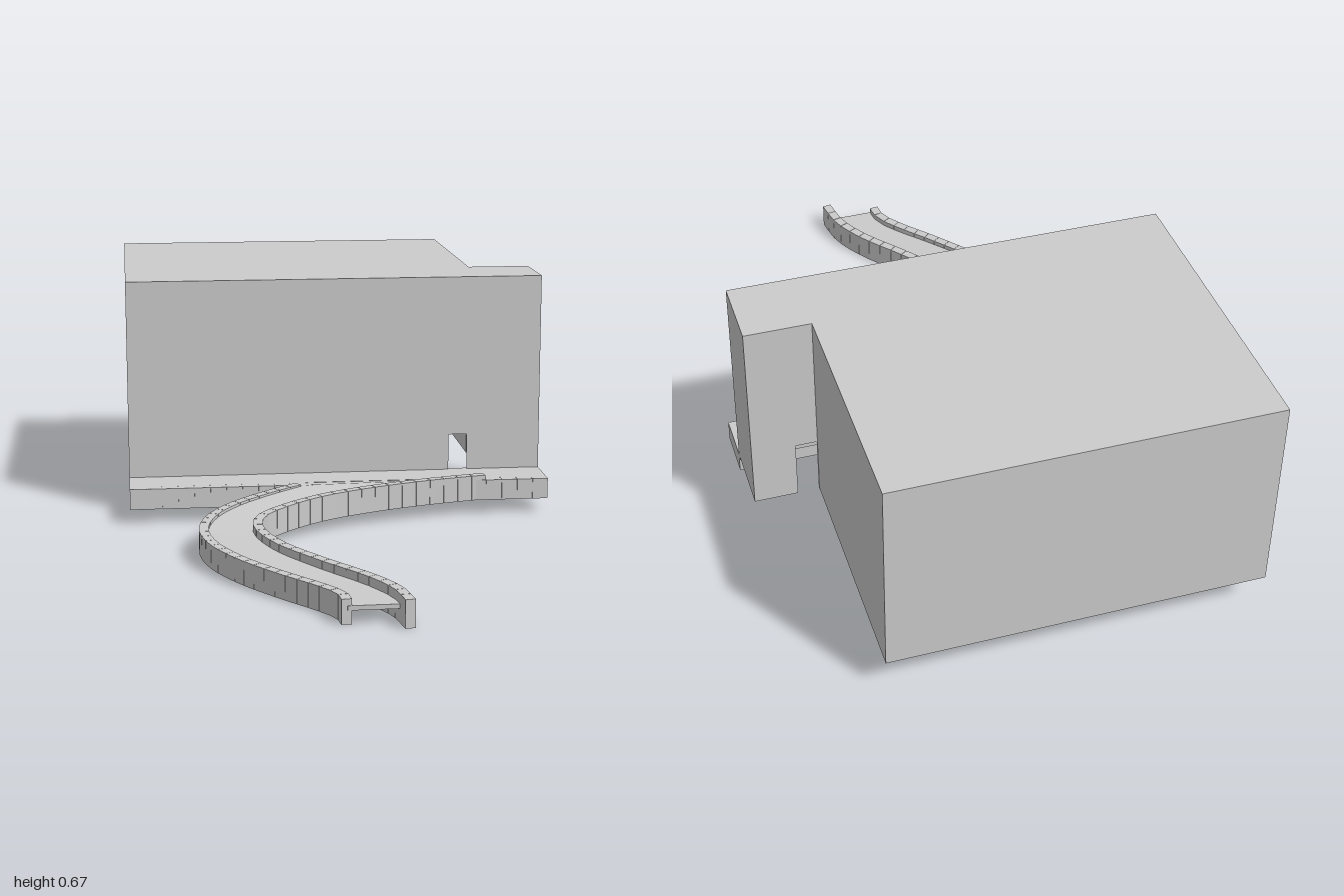
import * as THREE from 'three';
import { mergeGeometries } from 'three/addons/utils/BufferGeometryUtils.js';

const material = new THREE.MeshStandardMaterial({ color: 0xcccccc, side: THREE.DoubleSide, flatShading: true });

function add(group, name, geometry) {
  const mesh = new THREE.Mesh(geometry, material);
  mesh.name = name;
  group.add(mesh);
  return mesh;
}

function block(x0, x1, y0, y1, z0, z1) {
  return new THREE.BoxGeometry(x1 - x0, y1 - y0, z1 - z0)
    .translate((x0 + x1) / 2, (y0 + y1) / 2, (z0 + z1) / 2);
}

const curve = (pts) => new THREE.CatmullRomCurve3(pts.map(([x, z]) => new THREE.Vector3(x, 0, z)));

// Outer edges of the winding ramp, from the terrace down to its foot
const leftEdge = curve([[-0.13, -0.01], [-0.23, 0.06], [-0.33, 0.15], [-0.395, 0.25], [-0.42, 0.36],
  [-0.4, 0.48], [-0.335, 0.61], [-0.24, 0.74], [-0.15, 0.85], [-0.112, 0.91], [-0.105, 0.96]]);
const rightEdge = curve([[0.42, -0.01], [0.24, 0.028], [0.08, 0.075], [-0.06, 0.135], [-0.17, 0.215],
  [-0.235, 0.29], [-0.25, 0.37], [-0.21, 0.5], [-0.115, 0.645], [0.0, 0.8], [0.05, 0.9], [0.068, 1.0]]);

const baseY = (z) => 0.04 * Math.min(1, 1 - z) ** 2;

// Point beside an edge curve: offset is horizontal, towards the model's left
function beside(edge, t, offset) {
  const p = edge.getPointAt(t);
  const d = edge.getTangentAt(t);
  return new THREE.Vector3(p.x + d.z * offset, baseY(p.z), p.z - d.x * offset);
}

// Parapet of separate stones following an edge
function stoneWall(edge, inner, outer, height, count) {
  const stones = [];
  for (let i = 0; i < count; i++) {
    const g = new THREE.BoxGeometry(1, 1, 1);
    const pos = g.attributes.position;
    for (let k = 0; k < pos.count; k++) {
      const t = (i + (pos.getZ(k) > 0 ? 0.985 : 0.015)) / count;
      const p = beside(edge, t, pos.getX(k) > 0 ? outer : inner);
      pos.setXYZ(k, p.x, p.y + (pos.getY(k) > 0 ? height : 0), p.z);
    }
    g.computeVertexNormals();
    stones.push(g);
  }
  return mergeGeometries(stones);
}

// Road slab spanning the two parapets
function roadSlab(steps) {
  const g = new THREE.BoxGeometry(1, 1, 1, 1, 1, steps);
  const pos = g.attributes.position;
  for (let k = 0; k < pos.count; k++) {
    const t = pos.getZ(k) + 0.5;
    const p = pos.getX(k) > 0 ? beside(rightEdge, t * 0.97, -0.015) : beside(leftEdge, t, 0.015);
    const lift = THREE.MathUtils.lerp(0.06, 0.047, t);
    pos.setXYZ(k, p.x, p.y + lift - (pos.getY(k) > 0 ? 0 : 0.012), p.z);
  }
  g.computeVertexNormals();
  return g;
}

// Thin wall between two plan points, with an optional doorway [start, end, height]
function wall(a, b, y0, y1, door) {
  const dx = b[0] - a[0], dz = b[1] - a[1];
  const length = Math.hypot(dx, dz);
  const shape = new THREE.Shape().moveTo(0, 0);
  if (door) {
    const [s, e, h] = door;
    shape.lineTo(s, 0).lineTo(s, h).lineTo(e, h).lineTo(e, 0);
  }
  shape.lineTo(length, 0).lineTo(length, y1 - y0).lineTo(0, y1 - y0);
  return new THREE.ShapeGeometry(shape)
    .rotateY(Math.atan2(-dz, dx))
    .translate(a[0], y0, a[1]);
}

export function createModel() {
  const model = new THREE.Group();
  model.name = 'houseWithRamp';

  // L-shaped building shell, open underneath
  const building = new THREE.Group();
  building.name = 'building';
  model.add(building);
  const plan = [[-0.6, -0.14], [0.6, -0.14], [0.6, -0.34], [0.42, -0.34], [0.42, -1], [-0.6, -1]];
  const names = ['frontWall', 'wingSideWall', 'wingBackWall', 'leftWall', 'backWall', 'rightWall'];
  const doors = { 0: [0.932, 0.986, 0.105], 2: [0.12, 0.178, 0.17] };
  plan.forEach((a, i) => add(building, names[i], wall(a, plan[(i + 1) % plan.length], 0.1, 0.67, doors[i])));
  const roofShape = new THREE.Shape(plan.map(([x, z]) => new THREE.Vector2(x, -z)));
  add(building, 'roof', new THREE.ShapeGeometry(roofShape).rotateX(-Math.PI / 2).translate(0, 0.67, 0));

  // Terrace in front of the building
  const terrace = new THREE.Group();
  terrace.name = 'terrace';
  model.add(terrace);
  add(terrace, 'terraceBody', block(-0.6, 0.6, 0.04, 0.099, -0.14, -0.004));
  add(terrace, 'terracePaving', block(-0.6, 0.6, 0.088, 0.1, -0.152, -0.028));

  // Edging stones on both sides of the ramp opening
  const edging = [];
  for (const [x0, x1, n] of [[-0.6, -0.1, 11], [0.42, 0.6, 4]]) {
    const w = (x1 - x0) / n;
    for (let i = 0; i < n; i++) {
      edging.push(block(x0 + i * w + (i ? 0.001 : 0), x0 + (i + 1) * w - (i < n - 1 ? 0.001 : 0), 0.042, 0.1, -0.028, 0));
    }
  }
  add(terrace, 'edgingStones', mergeGeometries(edging));

  // Winding ramp
  const ramp = new THREE.Group();
  ramp.name = 'ramp';
  model.add(ramp);
  add(ramp, 'road', roadSlab(48));
  add(ramp, 'rightParapet', stoneWall(leftEdge, 0, 0.026, 0.064, 30));
  add(ramp, 'leftParapet', stoneWall(rightEdge, -0.026, 0, 0.072, 36));

  return model;
}
